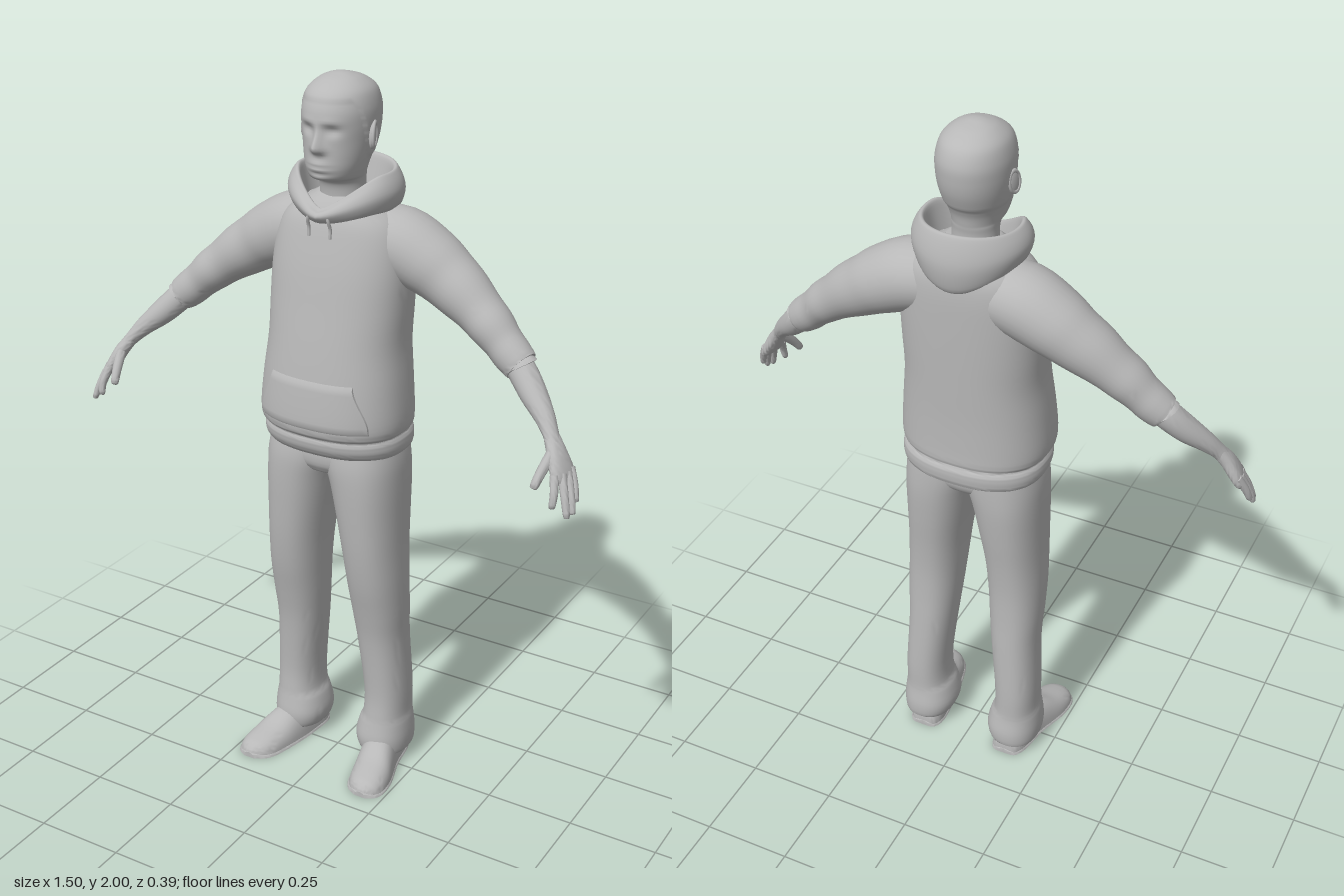
import * as THREE from 'three';
import { mergeVertices, toCreasedNormals } from 'three/addons/utils/BufferGeometryUtils.js';

const V = (x, y, z) => new THREE.Vector3(x, y, z);
const bell = (d, s) => Math.exp(-(d * d) / (2 * s * s));
const step = THREE.MathUtils.smoothstep;

// Surface through a grid of points, rings[i][j]
function skin(rings, crease = 1.0) {
  const w = rings[0].length, pos = [], idx = [];
  rings.forEach(r => r.forEach(p => pos.push(p.x, p.y, p.z)));
  for (let i = 0; i < rings.length - 1; i++) for (let j = 0; j < w - 1; j++) {
    const a = i * w + j;
    idx.push(a, a + 1, a + w, a + 1, a + w + 1, a + w);
  }
  let g = new THREE.BufferGeometry();
  g.setAttribute('position', new THREE.Float32BufferAttribute(pos, 3));
  g.setIndex(idx);
  g = mergeVertices(g, 1e-5);
  g.computeVertexNormals();
  return crease ? toCreasedNormals(g, crease) : g;
}

// Closes both ends of a stack of rings
function capped(rings) {
  const end = r => {
    const c = V(0, 0, 0);
    r.slice(1).forEach(p => c.add(p));
    c.divideScalar(r.length - 1);
    return r.map(() => c.clone());
  };
  return [end(rings[0]), ...rings, end(rings[rings.length - 1])];
}

// Catmull-Rom subdivision of rows of numbers
function smooth(rows, k) {
  const out = [], at = i => rows[Math.min(Math.max(i, 0), rows.length - 1)];
  for (let i = 0; i < rows.length - 1; i++) for (let s = 0; s < k; s++) {
    const t = s / k;
    out.push(at(i).map((p1, c) => {
      const p0 = at(i - 1)[c], p2 = at(i + 1)[c], p3 = at(i + 2)[c];
      return p1 + 0.5 * t * (p2 - p0 + t * (2 * p0 - 5 * p1 + 4 * p2 - p3 + t * (3 * (p1 - p2) + p3 - p0)));
    }));
  }
  out.push(at(rows.length - 1));
  return out;
}

// Rounded outline around c with half axes u and v
function ring(c, u, v, n = 2, seg = 40) {
  const pw = t => Math.sign(t) * Math.abs(t) ** (2 / n);
  return Array.from({ length: seg + 1 }, (_, j) => {
    const t = (j % seg) / seg * Math.PI * 2;
    return c.clone().addScaledVector(u, pw(Math.cos(t))).addScaledVector(v, pw(Math.sin(t)));
  });
}

// Level rings from rows of [y, x0, x1, zFront, zBack]
const level = (rows, n, seg) => rows.map(([y, x0, x1, zf, zb]) =>
  ring(V((x0 + x1) / 2, y, (zf + zb) / 2), V((x1 - x0) / 2, 0, 0), V(0, 0, (zb - zf) / 2), n, seg));

// Limb along a path from rows of [x, y, z, halfWidth, halfThickness]
function limb(rows, wide = V(0, 0, 1), seg = 28, k = 4, n = 2) {
  const r = smooth(rows, k), P = i => V(...r[Math.min(Math.max(i, 0), r.length - 1)].slice(0, 3));
  return skin(capped(r.map((q, i) => {
    const d = P(i + 1).sub(P(i - 1)).normalize();
    const u = wide.clone().addScaledVector(d, -wide.dot(d)).normalize();
    return ring(P(i), u.clone().multiplyScalar(q[3]), d.clone().cross(u).multiplyScalar(q[4]), n, seg);
  })));
}

function mirrored(g) {
  const m = (g.index ? g.toNonIndexed() : g.clone()).scale(-1, 1, 1);
  for (const a of Object.values(m.attributes)) for (let i = 0; i < a.count; i += 3) {
    const s = a.itemSize, t = a.array.slice((i + 1) * s, (i + 2) * s);
    a.array.copyWithin((i + 1) * s, (i + 2) * s, (i + 3) * s);
    a.array.set(t, (i + 2) * s);
  }
  return m;
}

function headGeometry() {
  const rows = smooth([[1.66, .062, .03, -.085], [1.71, .059, .035, -.085], [1.733, .061, .05, -.088], [1.745, .066, .086, -.09],
    [1.77, .074, .098, -.096], [1.80, .082, .098, -.11], [1.84, .089, .097, -.125], [1.88, .093, .099, -.132], [1.92, .092, .096, -.132],
    [1.96, .08, .075, -.115], [1.985, .055, .04, -.08], [1.997, .025, .005, -.04], [2, .004, -.012, -.022]], 6);
  const rings = level(rows.map(([y, w, f, b]) => [y, -w, w, f, b]), 2.1, 96);
  rings.forEach(r => r.forEach(p => {
    const { x, y, z } = p, ax = Math.abs(x);
    // hair stands slightly proud of the skin
    const line = 1.79 + .15 * step(z, -.02, .05);
    const hair = 1 + .035 * step(y, line, line + .008) * step(1.995 - y, 0, .04);
    p.x *= hair;
    p.z = z * hair;
    if (z < .02) return;
    // nose, eye sockets, brow, lips, chin
    p.z += .028 * bell(x, .007 + .006 * step(1.86 - y, 0, .04)) * bell(y - 1.826, y > 1.826 ? .026 : .008)
      - .011 * bell(ax - .034, .015) * bell(y - 1.872, .01)
      + .004 * bell(ax - .03, .02) * bell(y - 1.892, .007)
      + .007 * bell(x, .02) * bell(y - 1.778, .012) - .005 * bell(x, .022) * bell(y - 1.779, .003)
      - .004 * bell(x, .02) * bell(y - 1.762, .004) + .005 * bell(x, .02) * bell(y - 1.747, .008);
  }));
  return skin(capped(rings), 0);
}

function hoodGeometry() {
  const rings = [];
  for (let i = 0; i <= 64; i++) {
    const t = (i % 64) / 64 * Math.PI * 2, a = Math.min(t, Math.PI * 2 - t);
    const back = step(a, 1.7, Math.PI);
    const low = 1.638 + .022 * step(a, 0, 1.2) - .055 * back;
    const top = 1.662 + .09 * step(a, -.3, 1.35) + .008 * back, h = top - low;
    const rx = .152, rz = a < Math.PI / 2 ? .135 + .015 * bell(a, .25) : .15;
    const prof = [[.7, low - .012], [.9, low - .005], [.98, low + .15 * h], [1.02, low + .45 * h], [.98, low + .72 * h], [.9, top - .006],
      [.85, top], [.8, top - .006], [.75, top - .035], [.68, top - .08]];
    rings.push(smooth(prof, 3).map(([s, y]) => V(-Math.sin(t) * rx * s, y, -.04 + Math.cos(t) * rz * s)));
  }
  return skin(rings, 0);
}

export function createModel() {
  const model = new THREE.Group();
  const grey = new THREE.MeshStandardMaterial({ color: 0xb8b8b8, side: THREE.DoubleSide });
  grey.name = 'plain grey';
  const add = (name, g) => {
    const m = new THREE.Mesh(g, grey);
    m.name = name;
    model.add(m);
  };
  const pair = (name, g) => { add('left' + name, g); add('right' + name, mirrored(g)); };

  add('head', headGeometry());
  pair('Ear', new THREE.SphereGeometry(1, 20, 14).scale(.009, .036, .02).rotateX(-.2).rotateY(.3).translate(.094, 1.85, -.012));
  pair('EarRim', new THREE.TorusGeometry(.024, .005, 8, 24).scale(.75, 1.25, 1).rotateY(Math.PI / 2).rotateX(-.2)
    .rotateY(.3).translate(.098, 1.852, -.014));

  // Sweater body with a gathered hem band
  const body = smooth([[1.012, .185, .12, -.15], [1, .196, .13, -.165], [1.02, .204, .147, -.17], [1.045, .203, .153, -.17],
    [1.056, .197, .15, -.162], [1.07, .207, .162, -.165], [1.11, .21, .164, -.164], [1.2, .203, .155, -.164], [1.3, .193, .14, -.167],
    [1.4, .195, .122, -.17], [1.5, .195, .104, -.172], [1.58, .185, .085, -.172], [1.63, .16, .07, -.166],
    [1.665, .11, .05, -.15], [1.69, .07, .03, -.12]], 4);
  add('sweaterBody', skin(capped(level(body.map(([y, w, f, b]) => [y, -w, w, f, b]), 2.4, 64))));
  const chest = (x, y) => {
    const i = Math.max(body.findIndex((r, j) => j > 8 && r[0] >= y), 1), p = body[i - 1], q = body[i];
    const [, w, f, b] = p.map((v, c) => THREE.MathUtils.lerp(v, q[c], (y - p[0]) / (q[0] - p[0])));
    return (f + b) / 2 + (f - b) / 2 * (1 - Math.abs(x / w) ** 2.4) ** (1 / 2.4);
  };

  // Front pocket with slanted openings
  const pocket = [];
  for (let i = 0; i <= 10; i++) {
    const y = 1.225 - i * .0145, w = .122 + .042 * step(1.225 - y, 0, .13);
    pocket.push(Array.from({ length: 33 }, (_, j) => {
      const u = Math.max(-1, Math.min(1, (j - 16) / 15)), rim = j === 0 || j === 32 || i === 0 || i === 10;
      return V(-u * w, y, chest(u * w, y) + (rim ? -.004 : .006));
    }));
  }
  pocket.forEach(r => r.reverse());
  add('frontPocket', skin(pocket.reverse(), .7));

  add('hood', hoodGeometry());
  const cord = new THREE.CatmullRomCurve3([V(.022, 1.668, .095), V(.03, 1.645, .1), V(.032, 1.62, .092), V(.031, 1.595, .093)]);
  pair('Drawstring', new THREE.TubeGeometry(cord, 12, .0045, 8));

  // Arms: sleeve, cuff, forearm, hand
  pair('Sleeve', limb([[.05, 1.57, -.06, .09, .085], [.15, 1.562, -.067, .1, .096], [.235, 1.525, -.069, .094, .09],
    [.29, 1.492, -.067, .083, .081], [.34, 1.46, -.06, .076, .074], [.39, 1.423, -.053, .066, .063], [.43, 1.392, -.045, .063, .059],
    [.465, 1.36, -.039, .054, .052], [.495, 1.333, -.033, .052, .051], [.524, 1.31, -.027, .046, .046], [.519, 1.315, -.028, .036, .036]]));
  pair('Forearm', limb([[.48, 1.345, -.035, .036, .036], [.53, 1.3, -.02, .038, .038], [.575, 1.255, .003, .036, .035],
    [.62, 1.213, .03, .028, .026], [.65, 1.178, .052, .023, .019], [.67, 1.15, .066, .024, .018]]));
  const across = V(-.25, 0, 1);
  pair('Palm', limb([[.65, 1.178, .052, .021, .017], [.672, 1.147, .067, .029, .019], [.69, 1.115, .077, .038, .018],
    [.703, 1.09, .084, .041, .015], [.709, 1.078, .087, .036, .01]], across, 28, 4, 2.3));
  const fingers = [['Index', [.69, 1.1, .112], [.7, 1.062, .131], [.7, 1.028, .14]], ['Middle', [.702, 1.1, .093], [.722, 1.05, .115], [.735, 1.006, .127]],
    ['Ring', [.708, 1.1, .073], [.729, 1.052, .094], [.741, 1.01, .106]], ['Little', [.708, 1.105, .055], [.728, 1.065, .071], [.738, 1.032, .082]],
    ['Thumb', [.668, 1.145, .082], [.657, 1.103, .121], [.65, 1.072, .143]]];
  for (const [name, a, b, c] of fingers) {
    const r = name === 'Thumb' ? .013 : .0105, tip = c.map((v, i) => v + (c[i] - b[i]) * .12);
    pair(name === 'Thumb' ? name : name + 'Finger', limb([[...a, r * 1.15, r * 1.15], [...b, r, r], [...c, r * .8, r * .8], [...tip, r * .3, r * .3]], across, 12));
  }

  // Trousers
  pair('TrouserLeg', skin(capped(level(smooth([[.05, .09, .2, .03, -.11], [.04, .072, .212, .045, -.13], [.08, .06, .217, .052, -.134],
    [.13, .07, .213, .044, -.126], [.16, .082, .208, .04, -.124], [.24, .083, .207, .037, -.124], [.4, .066, .2, .05, -.117],
    [.5, .056, .203, .068, -.112], [.6, .048, .203, .09, -.111], [.7, .038, .2, .105, -.118], [.8, .022, .199, .114, -.13],
    [.9, .002, .199, .12, -.14], [.97, -.02, .196, .12, -.142], [1.03, -.025, .185, .11, -.14]], 4), 2.3, 40))));
  add('trouserSeat', skin(capped(level(smooth([[.915, -.04, .04, .05, -.06], [.935, -.1, .1, .095, -.11],
    [.97, -.17, .17, .113, -.135], [1.03, -.18, .18, .11, -.135]], 4), 2.4, 40))));

  // Shoes: rows of [z, xCentre, halfWidth, height], flat underneath
  const shoe = smooth([[-.122, .135, .02, .03], [-.115, .136, .036, .05], [-.08, .138, .05, .085], [0, .148, .054, .1], [.05, .16, .058, .088],
    [.1, .173, .06, .063], [.15, .182, .055, .047], [.178, .186, .04, .036], [.193, .188, .015, .02]], 4);
  const shoeRings = (grow, top) => capped(shoe.map(([z, x, w, h]) => ring(V(x, 0, z * (1 + grow / 4)), V(w * (1 + grow), 0, 0), V(0, top || h, 0), 2.4, 32)
    .map(p => V(p.x, Math.max(p.y, 0), p.z))));
  pair('Shoe', skin(shoeRings(0, 0), .9));
  pair('ShoeSole', skin(shoeRings(.06, .016), .7));

  return model;
}
